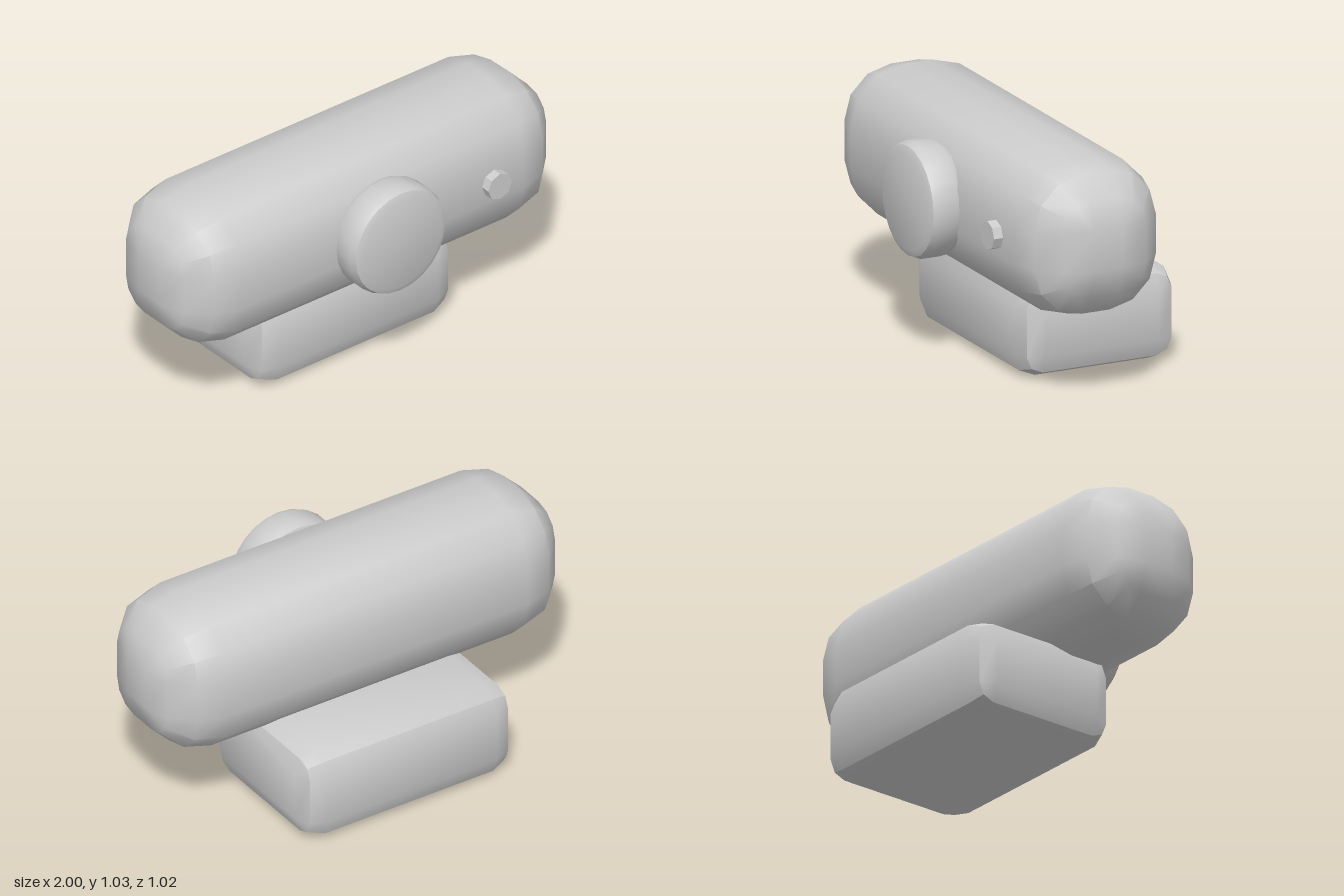
import * as THREE from 'three';
import { toCreasedNormals } from 'three/addons/utils/BufferGeometryUtils.js';

const CREASE = 0.6;

// Box with every edge bevelled to radius r in n steps, lofted along x
function bevelBox(w, h, d, r, n) {
  const ix = w / 2 - r, iy = h / 2 - r, iz = d / 2 - r;
  const pos = [], index = [];
  const ringSize = 4 * (n + 1), ringCount = 2 * (n + 1);
  for (let i = 0; i < ringCount; i++) {
    const side = i <= n ? -1 : 1;
    const a = (side < 0 ? i : ringCount - 1 - i) / n * Math.PI / 2;
    const x = side * (ix + r * Math.cos(a)), s = r * Math.sin(a);
    for (let q = 0; q < 4; q++) {
      for (let k = 0; k <= n; k++) {
        const t = (q + k / n) * Math.PI / 2;
        const sy = q < 2 ? 1 : -1, sz = q === 0 || q === 3 ? 1 : -1;
        pos.push(x, sy * iy + s * Math.sin(t), sz * iz + s * Math.cos(t));
      }
    }
  }
  const point = i => new THREE.Vector3().fromArray(pos, i * 3);
  const tri = (a, b, c) => {
    const area = point(b).sub(point(a)).cross(point(c).sub(point(a))).length();
    if (area > 1e-8) index.push(a, b, c);
  };
  for (let i = 0; i < ringCount - 1; i++) {
    for (let j = 0; j < ringSize; j++) {
      const a = i * ringSize + j, b = i * ringSize + (j + 1) % ringSize;
      tri(a, a + ringSize, b + ringSize);
      tri(a, b + ringSize, b);
    }
  }
  // flat end faces
  const m = n + 1, e = (ringCount - 1) * ringSize;
  tri(0, m, 2 * m);
  tri(0, 2 * m, 3 * m);
  tri(e, e + 2 * m, e + m);
  tri(e, e + 3 * m, e + 2 * m);

  const g = new THREE.BufferGeometry();
  g.setAttribute('position', new THREE.Float32BufferAttribute(pos, 3));
  g.setIndex(index);
  return g;
}

export function createModel() {
  const group = new THREE.Group();
  const grey = new THREE.MeshStandardMaterial({ color: 0xcccccc });
  grey.name = 'light grey';

  const add = (name, geometry, x, y, z) => {
    const mesh = new THREE.Mesh(toCreasedNormals(geometry, CREASE), grey);
    mesh.name = name;
    mesh.position.set(x, y, z);
    group.add(mesh);
  };

  // Long rounded housing
  add('body', bevelBox(2, 0.67, 0.632, 0.25, 3), 0, 0.696, 0.069);

  // Foot set back beneath the housing
  add('base', bevelBox(1.05, 0.42, 0.737, 0.105, 2), 0, 0.21, -0.1425);

  // Lens drum with bevelled rims, turned to face the front
  const profile = [
    [0, 0.345], [0.21, 0.345], [0.238, 0.357], [0.25, 0.385],
    [0.25, 0.472], [0.238, 0.5], [0.21, 0.512], [0, 0.512],
  ].map(([r, z]) => new THREE.Vector2(r, z));
  add('lens', new THREE.LatheGeometry(profile, 24).rotateX(Math.PI / 2), 0, 0.696, 0);

  // Small octagonal indicator
  add('indicator', new THREE.CylinderGeometry(0.0625, 0.0625, 0.127, 8).rotateX(Math.PI / 2), 0.5875, 0.697, 0.3635);

  return group;
}
